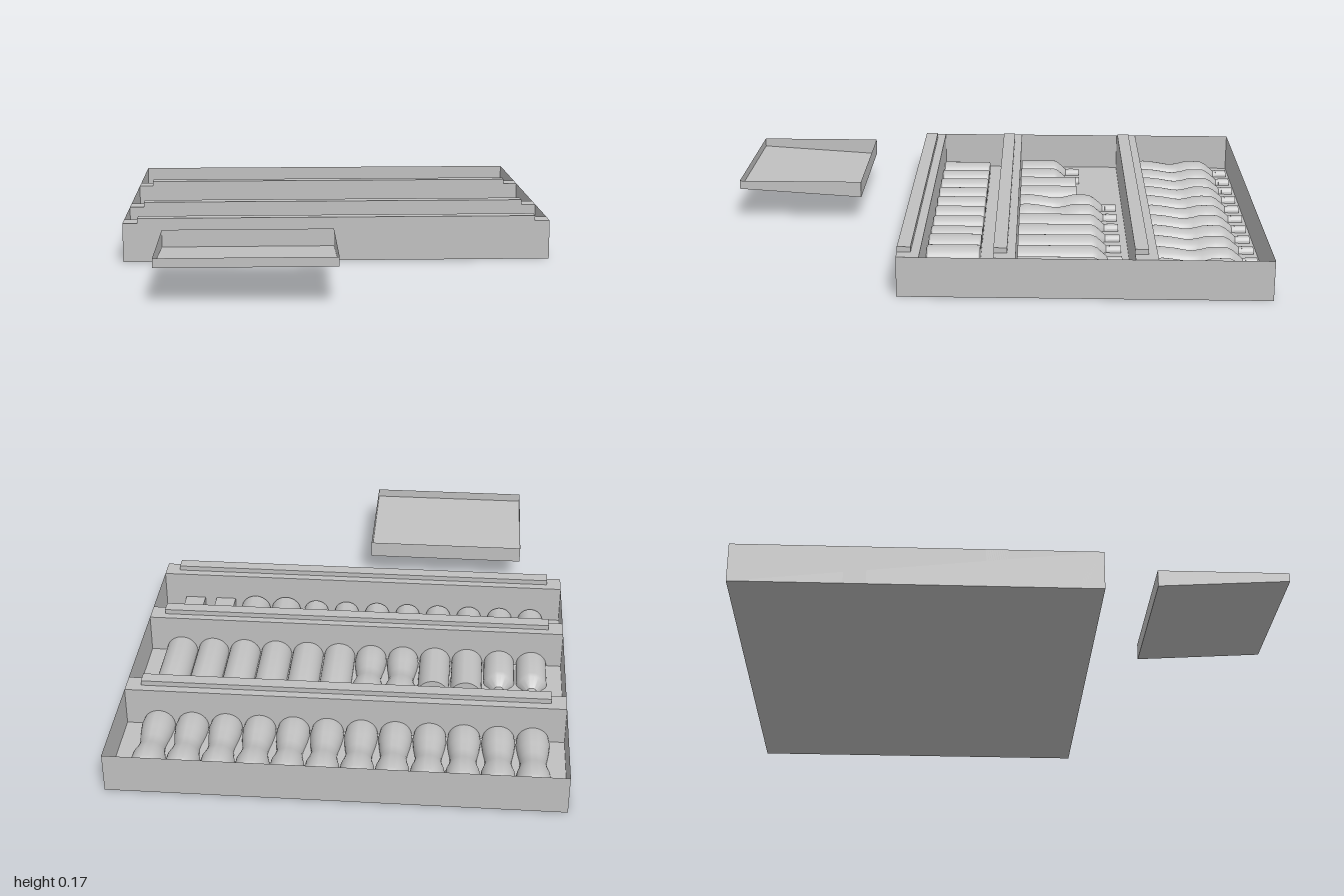
import * as THREE from 'three';
import { toCreasedNormals } from 'three/addons/utils/BufferGeometryUtils.js';

export function createModel() {
  const root = new THREE.Group();
  root.name = 'displayCabinet';
  const grey = new THREE.MeshStandardMaterial({ color: 0xc0c0c0, side: THREE.DoubleSide });
  grey.name = 'plain grey';

  const add = (name, geometry, x = 0, y = 0, z = 0) => {
    const mesh = new THREE.Mesh(geometry, grey);
    mesh.name = name;
    mesh.position.set(x, y, z);
    root.add(mesh);
  };

  // box given by its limits
  const block = (name, x0, x1, y0, y1, z0, z1) =>
    add(name, new THREE.BoxGeometry(x1 - x0, y1 - y0, z1 - z0),
      (x0 + x1) / 2, (y0 + y1) / 2, (z0 + z1) / 2);

  // thin-walled tray without a lid; its floor may slope from back to front
  const openTray = (name, x0, x1, backY, frontY, topY, z0, z1) => {
    const g = new THREE.BoxGeometry(x1 - x0, 1, z1 - z0);
    const p = g.attributes.position;
    for (let i = 0; i < p.count; i++) {
      const floorY = p.getZ(i) > 0 ? frontY : backY;
      p.setY(i, p.getY(i) > 0 ? topY : floorY);
    }
    const index = Array.from(g.index.array);
    index.splice(12, 6); // drop the top face
    g.setIndex(index);
    g.clearGroups();
    const open = g.toNonIndexed();
    open.computeVertexNormals();
    add(name, open, (x0 + x1) / 2, 0, (z0 + z1) / 2);
  };

  openTray('cabinetCase', -0.8, 0.8, 0, 0, 0.146, -1, 0.31);
  openTray('looseTray', -0.64, -0.02, 0.1, 0.13, 0.163, 0.52, 1);

  // shelves with a raised rail along the front edge
  for (const [back, front] of [[-0.6, -0.52], [-0.105, -0.027], [0.23, 0.31]]) {
    block('shelf', -0.8, 0.8, 0, 0.146, back, front);
    block('shelfRail', -0.745, 0.745, 0.146, 0.165, front - 0.048, front);
  }

  // half-round containers lying on the back panel, as [radius, height] profiles
  const halfRound = (profile) => {
    const pts = profile.map(([r, h]) => new THREE.Vector2(r, h));
    const g = new THREE.LatheGeometry(pts, 20, -Math.PI / 2, Math.PI);
    g.rotateX(-Math.PI / 2);
    return toCreasedNormals(g, 0.5);
  };
  const cap = (h) => [[0.021, h - 0.055], [0.021, h - 0.043], [0.023, h - 0.043], [0.023, h], [0, h]];
  const waisted = halfRound([[0, 0], [0.058, 0], [0.061, 0.03], [0.056, 0.08], [0.048, 0.13],
    [0.047, 0.15], [0.052, 0.18], [0.06, 0.21], [0.061, 0.24], [0.06, 0.275], [0.05, 0.295], ...cap(0.385)]);
  const straight = halfRound([[0, 0], [0.06, 0], [0.06, 0.275], [0.052, 0.295], ...cap(0.385)]);
  const small = halfRound([[0, 0], [0.058, 0], [0.058, 0.14], [0.052, 0.155], ...cap(0.245)]);
  const drum = halfRound([[0, 0], [0.059, 0], [0.059, 0.23], [0, 0.23]]);
  const can = halfRound([[0, 0], [0.045, 0], [0.049, 0.006], [0.049, 0.19], [0.045, 0.197], [0, 0.197]]);
  const wideCan = halfRound([[0, 0], [0.055, 0], [0.059, 0.006], [0.059, 0.19], [0.055, 0.197], [0, 0.197]]);

  for (let i = 0; i < 12; i++) {
    const x = -0.685 + i * 0.124;
    add('upperBottle', waisted, x, 0.002, -0.602);

    if (i < 2) add('smallBottle', small, x, 0.002, -0.107);
    else if (i < 4) add('drum', drum, x, 0.002, -0.107);
    else add('middleBottle', i < 6 ? waisted : straight, x, 0.002, -0.107);

    if (i < 8) add('can', can, x, 0.002, 0.228);
    else if (i < 10) add('wideCan', wideCan, x, 0.002, 0.228);
    else block('carton', x - 0.039, x + 0.039, 0.002, 0.042, 0.055, 0.228);
  }
  return root;
}
